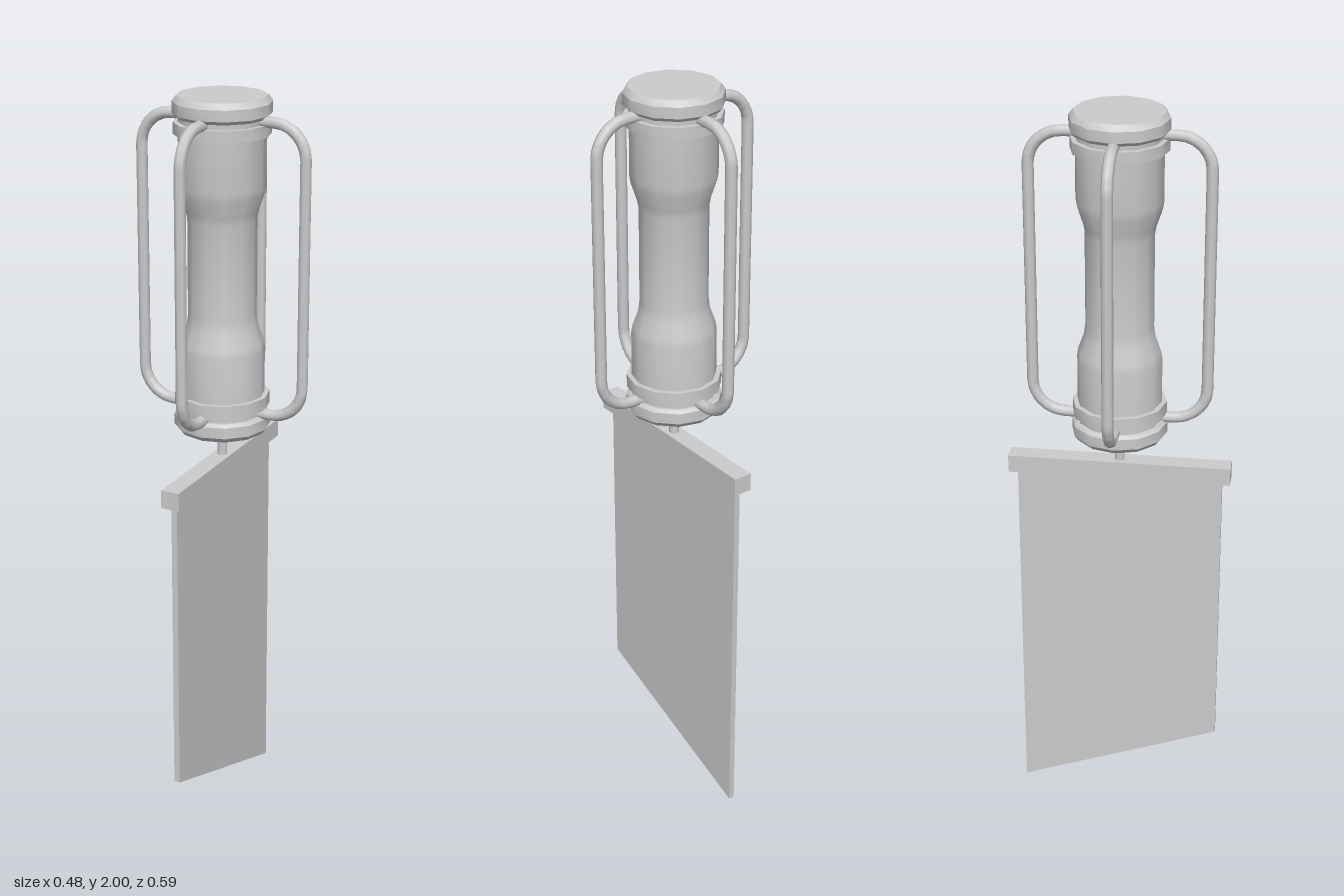
import * as THREE from 'three';
import { toCreasedNormals } from 'three/addons/utils/BufferGeometryUtils.js';

const SIDES = 12;

export function createModel() {
  const model = new THREE.Group();
  const material = new THREE.MeshStandardMaterial({ color: 0xcccccc });

  const add = (name, geometry, parent = model) => {
    const mesh = new THREE.Mesh(geometry, material);
    mesh.name = name;
    parent.add(mesh);
    return mesh;
  };
  // Profile points are [radius, y], listed from bottom to top
  const lathe = (points) =>
    toCreasedNormals(
      new THREE.LatheGeometry(points.map(([r, y]) => new THREE.Vector2(r, y)), SIDES),
      0.6
    );

  // Waisted cylinder body
  add('body', lathe([
    [0, 1.15], [0.11, 1.15], [0.11, 1.35], [0.107, 1.37], [0.092, 1.41], [0.088, 1.44],
    [0.088, 1.69], [0.092, 1.71], [0.107, 1.755], [0.11, 1.775], [0.11, 1.97], [0, 1.97],
  ]));

  // Chamfered end caps
  add('topCap', lathe([
    [0, 1.948], [0.117, 1.948], [0.125, 1.957], [0.125, 1.985], [0.114, 2], [0, 2],
  ]));
  add('bottomCap', lathe([
    [0, 1.13], [0.114, 1.13], [0.125, 1.143], [0.125, 1.172], [0.117, 1.18], [0, 1.18],
  ]));

  // Collar rings just inside the handle ends
  for (const [name, low, high] of [['topCollar', 1.905, 1.935], ['bottomCollar', 1.196, 1.23]]) {
    add(name, lathe([[0.1, low], [0.123, low], [0.123, high], [0.1, high]]));
  }

  // Four bent-rod handles around the body
  const inner = 0.08, outer = 0.227, top = 1.944, bottom = 1.186, bend = 0.085;
  const v = (x, y) => new THREE.Vector3(x, y, 0);
  const corner = (cx, cy, from, to) => {
    const points = [];
    for (let i = 0; i <= 6; i++) {
      const a = from + ((to - from) * i) / 6;
      points.push(v(cx + bend * Math.cos(a), cy + bend * Math.sin(a)));
    }
    return points;
  };
  const route = [
    v(inner, top),
    ...corner(outer - bend, top - bend, Math.PI / 2, 0),
    ...corner(outer - bend, bottom + bend, 0, -Math.PI / 2),
    v(inner, bottom),
  ];
  const path = new THREE.CurvePath();
  for (let i = 1; i < route.length; i++) path.add(new THREE.LineCurve3(route[i - 1], route[i]));
  const rod = new THREE.TubeGeometry(path, 80, 0.015, 8, false);
  const handles = new THREE.Group();
  handles.name = 'handles';
  model.add(handles);
  for (let i = 0; i < 4; i++) add('handle', rod, handles).rotation.y = (i * Math.PI) / 2;

  // Stem joining the body to the crossbar
  const stem = add('stem', new THREE.CylinderGeometry(0.013, 0.013, 0.11, SIDES));
  stem.position.y = 1.09;

  // Crossbar holding the blade
  const bar = add('crossbar', new THREE.BoxGeometry(0.05, 0.048, 0.588));
  bar.position.y = 1.031;

  // Thin blade with a slanted lower edge, its longest side at the back
  const outline = new THREE.Shape([
    new THREE.Vector2(-0.272, 0.2),
    new THREE.Vector2(0.272, 0),
    new THREE.Vector2(0.272, 1.01),
    new THREE.Vector2(-0.272, 1.01),
  ]);
  const bladeGeometry = new THREE.ExtrudeGeometry(outline, { depth: 0.016, bevelEnabled: false });
  bladeGeometry.translate(0, 0, -0.008).rotateY(Math.PI / 2);
  add('blade', bladeGeometry);

  return model;
}
